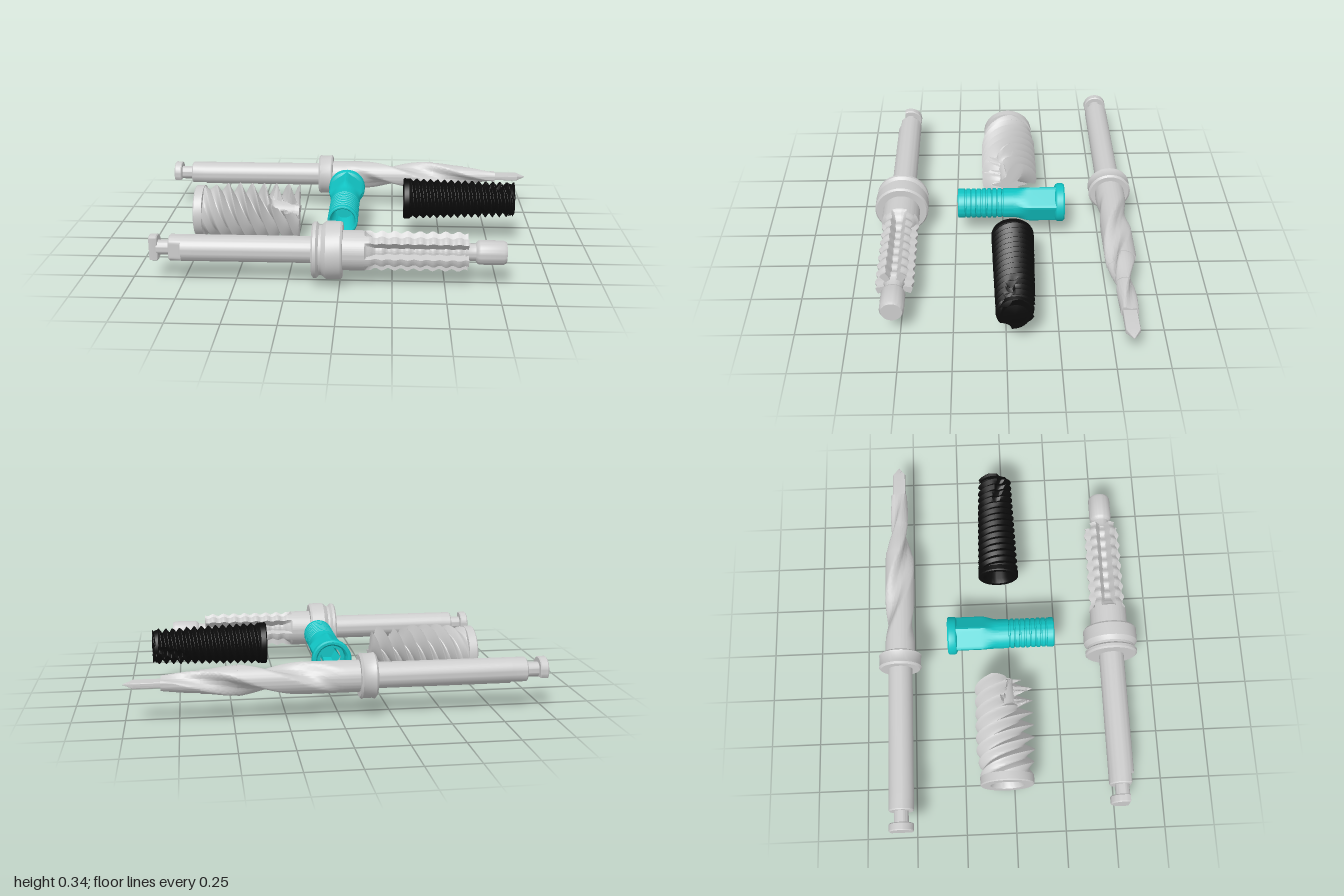
import * as THREE from 'three';
import { toCreasedNormals } from 'three/addons/utils/BufferGeometryUtils.js';

const TAU = Math.PI * 2;
const grey = new THREE.MeshStandardMaterial({ color: 0xcccccc });
const teal = new THREE.MeshStandardMaterial({ color: 0x11c4c4 });
const black = new THREE.MeshStandardMaterial({ color: 0x0b0b0b });

const clamp01 = t => Math.min(1, Math.max(0, t));
const ramp = (x, a, b) => { const t = clamp01((x - a) / (b - a)); return t * t * (3 - 2 * t); };
const range = (a, b, n) => Array.from({ length: n + 1 }, (_, i) => a + (b - a) * i / n);

function add(group, name, geometry, material, crease = 0.6) {
  const mesh = new THREE.Mesh(toCreasedNormals(geometry, crease), material);
  mesh.name = name;
  group.add(mesh);
}

// Solid along x whose radius is a rule of x and angle (0 = up, quarter turn = +z)
function sweep(xs, n, radius, capStart = true, capEnd = true) {
  const pos = [], idx = [], last = xs.length - 1;
  for (const x of xs) for (let j = 0; j < n; j++) {
    const a = TAU * j / n, r = radius(x, a);
    pos.push(x, r * Math.cos(a), r * Math.sin(a));
  }
  const c = pos.length / 3;
  pos.push(xs[0], 0, 0, xs[last], 0, 0);
  for (let j = 0; j < n; j++) {
    const k = (j + 1) % n;
    for (let i = 0; i < last; i++) {
      const p = i * n, q = p + n;
      idx.push(p + j, p + k, q + k, p + j, q + k, q + j);
    }
    if (capStart) idx.push(c, k, j);
    if (capEnd) idx.push(c + 1, last * n + j, last * n + k);
  }
  const g = new THREE.BufferGeometry();
  g.setAttribute('position', new THREE.Float32BufferAttribute(pos, 3));
  g.setIndex(idx);
  return g;
}

// Turned part along x from [x, radius] pairs
function turned(profile, segments = 48) {
  const g = new THREE.LatheGeometry(profile.map(([x, r]) => new THREE.Vector2(r, x)), segments);
  return g.rotateZ(-Math.PI / 2);
}

// Round section of radius r with one flat at distance d in direction a0
const dSection = (r, d, a0) => (x, a) => {
  const c = Math.cos(a - a0);
  return c > 0 ? Math.min(r, d / c) : r;
};

// Latch end, neck and shank shared by the two tools
function addShank(g, x0, neckEnd, flatEnd, end, r, flat) {
  add(g, 'latchDisc', sweep([x0, x0 + 0.005, x0 + 0.035, x0 + 0.04], 48, (x, a) =>
    dSection(r, 0.032, flat)(x, a) * (x < x0 + 0.004 || x > x0 + 0.036 ? 0.93 : 1)), grey);
  add(g, 'latchNeck', turned([[x0 + 0.035, 0.036], [neckEnd + 0.005, 0.036]]), grey);
  add(g, 'shankFlat', sweep([neckEnd, neckEnd + 0.006, flatEnd], 48, (x, a) =>
    dSection(r, 0.048, flat)(x, a) * (x === neckEnd ? 0.92 : 1)), grey);
  add(g, 'shank', turned([[flatEnd, 0], [flatEnd, r], [end, r]]), grey);
}

// Thread height 0..1 at a point of a right-handed screw
function tooth(x, a, pitch, starts, sharp = 1) {
  const p = x / pitch - starts * a / TAU;
  return clamp01(1 - Math.abs(2 * (p - Math.floor(p)) - 1) * sharp);
}

function twistDrill() {
  const g = new THREE.Group();
  g.name = 'twistDrill';
  addShank(g, -1, -0.9, -0.82, -0.15, 0.062, Math.PI);
  add(g, 'collar', turned([[-0.17, 0], [-0.17, 0.1], [-0.16, 0.11], [-0.15, 0.106], [-0.105, 0.106],
    [-0.098, 0.11], [-0.09, 0.1], [-0.09, 0]]), grey);
  // Two helical flutes run through three stepped diameters
  const fluted = R => (x, a) => {
    const wave = Math.cos(2 * (a - TAU * (x - 0.3) / 1.1));
    return R(x) * (1 - 0.52 * ramp(x, -0.04, 0.22) * ramp(wave, -0.45, 1));
  };
  add(g, 'flutedBody', sweep(range(-0.1, 0.48, 60), 72, fluted(() => 0.076)), grey);
  add(g, 'middleStep', sweep(range(0.47, 0.65, 20), 72, fluted(x => 0.072 - 0.016 * ramp(x, 0.48, 0.65))), grey);
  add(g, 'frontStep', sweep(range(0.64, 0.83, 20), 72, fluted(x => 0.052 - 0.01 * ramp(x, 0.64, 0.83))), grey);
  add(g, 'flatTip', sweep([0.8, 0.955, 1], 48, (x, a) =>
    Math.min(x > 0.99 ? 0.003 : 0.035, 0.013 / Math.max(0.001, Math.abs(Math.cos(a))))), grey);
  g.position.set(0, 0.197, -0.563);
  return g;
}

function slottedTool() {
  const g = new THREE.Group();
  g.name = 'slottedTool';
  addShank(g, -0.905, -0.81, -0.75, -0.1, 0.064, Math.PI / 2);
  add(g, 'collar', turned([[-0.13, 0], [-0.13, 0.125], [-0.122, 0.134], [-0.108, 0.134], [-0.096, 0.12],
    [-0.084, 0.12], [-0.07, 0.132], [-0.062, 0.138], [0.005, 0.138], [0.015, 0.13], [0.015, 0]]), grey);
  // Five straight slots leave blades with a wavy cutting edge
  const blades = (x, a) => {
    const crest = x < 0.14 ? 0.095 : 0.089 + 0.006 * Math.cos(TAU * (x - 0.14) / 0.06);
    const sector = TAU / 5;
    const off = Math.abs(a - Math.round(a / sector) * sector);
    const slot = 1 - ramp(off, 0.34, 0.41);
    const depth = 0.045 * Math.sqrt(clamp01((x - 0.12) / 0.1));
    return crest - slot * depth;
  };
  add(g, 'bladedBody', sweep([0.01, ...range(0.1, 0.605, 84)], 120, blades), grey, 0.5);
  add(g, 'pilotTip', turned([[0.59, 0.05], [0.61, 0.042], [0.64, 0.042], [0.65, 0.054], [0.66, 0.058],
    [0.77, 0.058], [0.785, 0.05], [0.785, 0]]), grey);
  g.position.set(0, 0.171, 0.53);
  return g;
}

function greyScrew() {
  const g = new THREE.Group();
  g.name = 'finnedScrew';
  // Collar with a conical open bore
  add(g, 'boredCollar', turned([[-0.55, 0], [-0.55, 0.05], [-0.68, 0.06], [-0.77, 0.078], [-0.785, 0.085],
    [-0.785, 0.13], [-0.78, 0.135], [-0.74, 0.135], [-0.735, 0.11]]), grey);
  // Deep fins on a tapering core, cut away by two notches near the tip
  const pitch = 0.064, step = pitch / 12;
  const xs = range(0, 1, 95).map((_, i) => -0.745 + i * step);
  const fins = (x, a) => {
    const core = 0.118 - 0.068 * clamp01((x + 0.74) / 0.48);
    const crest = 0.134 + 0.02 * ramp(x, -0.74, -0.58);
    const turn = a - 0.3 - (x + 0.4) * 4;
    const notch = ramp(x, -0.42, -0.37) * ramp(Math.cos(2 * turn), 0.45, 0.6);
    return core + (crest - core) * tooth(x, a, pitch, 4, 1.15) * (1 - notch);
  };
  add(g, 'fins', sweep(xs, 48, fins, false, true), grey, 0.5);
  g.position.set(0, 0.153, -0.038);
  return g;
}

function blackScrew() {
  const g = new THREE.Group();
  g.name = 'blackScrew';
  add(g, 'boredCollar', turned([[0.48, 0], [0.48, 0.055], [0.33, 0.07], [0.305, 0.078], [0.305, 0.1],
    [0.31, 0.105], [0.335, 0.105], [0.34, 0.09]]), black);
  // Fine double thread with a shallow taper and a short domed end
  const pitch = 0.036, step = pitch / 18;
  const xs = range(0, 1, 272).map((_, i) => 0.335 + i * step);
  const thread = (x, a) => {
    const t = clamp01((x - 0.335) / 0.52);
    const core = 0.09 - 0.024 * t, crest = 0.106 - 0.014 * t;
    const notch = ramp(x, 0.68, 0.76) * ramp(Math.cos(3 * (a - 3 * x)), 0.7, 0.9);
    return core + (crest - core) * tooth(x, a, pitch, 2) - 0.018 * notch;
  };
  add(g, 'thread', sweep(xs, 36, thread, false, true), black, 0.5);
  add(g, 'endDome', turned([[0.85, 0.085], [0.868, 0.08], [0.88, 0.055], [0.88, 0]]), black);
  g.position.set(0, 0.237, -0.04);
  return g;
}

function tealSleeve() {
  const g = new THREE.Group();
  g.name = 'tealSleeve';
  // Ringed barrel, open at its end
  const barrel = [[-0.05, 0], [-0.05, 0.05], [-0.225, 0.06], [-0.235, 0.066], [-0.235, 0.072], [-0.23, 0.076], [-0.2, 0.076]];
  for (let i = 0; i < 8; i++) {
    const x = -0.2 + i * 0.027;
    barrel.push([x, 0.076], [x + 0.003, 0.07], [x + 0.008, 0.07], [x + 0.011, 0.076], [x + 0.027, 0.076]);
  }
  barrel.push([0.055, 0.076]);
  add(g, 'ringedBarrel', turned(barrel, 64), teal);
  // Barrel widens into a five-sided head
  const head = (x, a) => {
    const sector = TAU / 5;
    const off = (a % sector) - sector / 2;
    const five = Math.min(0.094, 0.078 / Math.cos(off));
    return 0.076 + (five - 0.076) * ramp(x, 0.055, 0.14);
  };
  add(g, 'fiveSidedHead', sweep(range(0.05, 0.28, 24), 80, head, false, false), teal, 0.3);
  // Round rim with a stepped socket
  add(g, 'rim', turned([[0.265, 0.08], [0.272, 0.094], [0.28, 0.098], [0.307, 0.098], [0.315, 0.092], [0.315, 0.08],
    [0.305, 0.072], [0.25, 0.068], [0.25, 0.05]]), teal);
  add(g, 'socket', turned([[0.25, 0.05], [0.12, 0.042], [0.12, 0]], 6), teal);
  g.rotation.y = Math.PI / 2;
  g.position.set(0, 0.207, 0);
  return g;
}

export function createModel() {
  const model = new THREE.Group();
  model.name = 'drillAndScrewSet';
  model.add(twistDrill(), slottedTool(), greyScrew(), blackScrew(), tealSleeve());
  return model;
}
